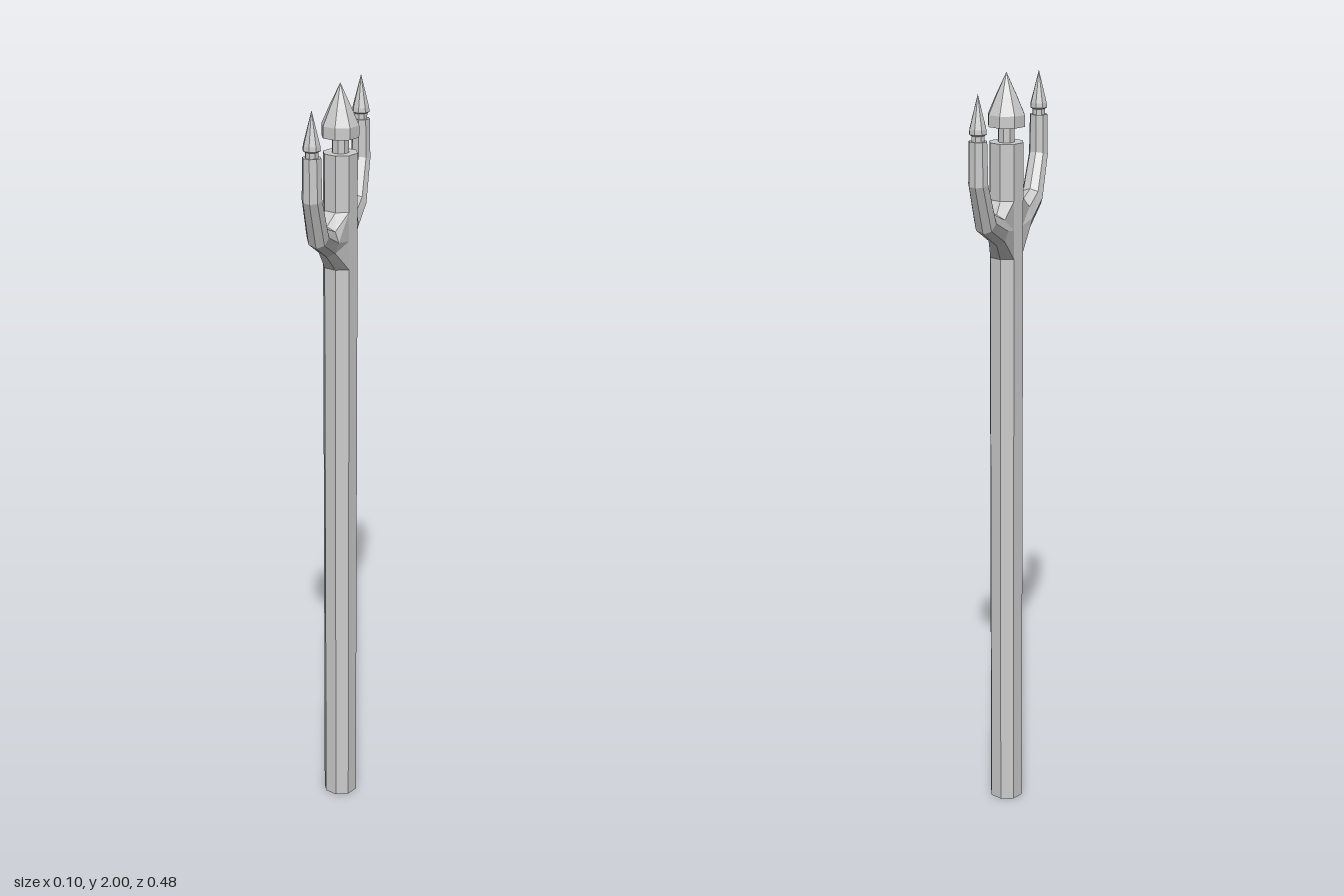
import * as THREE from 'three';

const SIDES = 8;
const material = new THREE.MeshStandardMaterial({ color: 0xcccccc, flatShading: true });

function addMesh(parent, name, geometry) {
  const mesh = new THREE.Mesh(geometry, material);
  mesh.name = name;
  parent.add(mesh);
  return mesh;
}

// Eight-sided turned part from [radius, height] pairs, bottom to top
function turned(profile) {
  return new THREE.LatheGeometry(profile.map(([r, y]) => new THREE.Vector2(r, y)), SIDES);
}

// Cross-sections of a side prong: outer (z, y), inner (z, y), half width in x
const SECTIONS = [
  { outer: [0.088, 1.575], inner: [0.088, 1.655], rx: 0.031 },
  { outer: [0.185, 1.625], inner: [0.153, 1.677], rx: 0.029 },
  { outer: [0.239, 1.75], inner: [0.197, 1.765], rx: 0.026 },
  { outer: [0.24, 1.862], inner: [0.197, 1.862], rx: 0.024 },
];

function prongGeometry(side, offsetX) {
  const rings = [[]];
  // Square root wrapped around the shaft facets
  for (let k = 0; k < SIDES; k++) {
    const a = (k / SIDES) * Math.PI * 2;
    const c = Math.cos(a), s = Math.sin(a);
    const m = Math.max(Math.abs(c), Math.abs(s));
    rings[0].push([0.032 * s / m, 1.605 + 0.075 * c / m, 0.0455 - 0.0135 * Math.abs(s / m)]);
  }
  // Octagonal sections along the bend
  for (const { outer, inner, rx } of SECTIONS) {
    const ring = [];
    for (let k = 0; k < SIDES; k++) {
      const a = (k / SIDES) * Math.PI * 2;
      const t = (1 + Math.cos(a)) / 2;
      ring.push([
        offsetX + rx * Math.sin(a),
        outer[1] + (inner[1] - outer[1]) * t,
        outer[0] + (inner[0] - outer[0]) * t,
      ]);
    }
    rings.push(ring);
  }
  const positions = [];
  const face = (...corners) => {
    if (side < 0) corners.reverse();
    for (const [x, y, z] of corners) positions.push(x, y, z * side);
  };
  for (let i = 0; i + 1 < rings.length; i++) {
    for (let k = 0; k < SIDES; k++) {
      const n = (k + 1) % SIDES;
      face(rings[i][k], rings[i + 1][k], rings[i + 1][n]);
      face(rings[i][k], rings[i + 1][n], rings[i][n]);
    }
  }
  // Flat top
  const top = rings[rings.length - 1];
  for (let k = 1; k + 1 < SIDES; k++) face(top[0], top[k + 1], top[k]);

  const geometry = new THREE.BufferGeometry();
  geometry.setAttribute('position', new THREE.Float32BufferAttribute(positions, 3));
  geometry.computeVertexNormals();
  return geometry;
}

export function createModel() {
  const model = new THREE.Group();
  model.name = 'trident';

  // Long shaft
  const shaft = new THREE.CylinderGeometry(0.0455, 0.0455, 1.825, SIDES);
  shaft.translate(0, 1.825 / 2, 0);
  addMesh(model, 'shaft', shaft);

  // Centre spearhead on a narrow neck
  addMesh(model, 'centerSpearhead', turned([
    [0.022, 1.82], [0.022, 1.865], [0.049, 1.865], [0.049, 1.895], [0.029, 1.94], [0, 2],
  ]));

  // Front and back side prongs with small points
  for (const side of [1, -1]) {
    const prong = new THREE.Group();
    prong.name = side > 0 ? 'frontProng' : 'backProng';
    const offsetX = side > 0 ? -0.01 : -0.006;
    addMesh(prong, 'prongArm', prongGeometry(side, offsetX));
    const tip = addMesh(prong, 'prongTip', turned([
      [0.017, 1.86], [0.017, 1.876], [0.023, 1.88], [0.022, 1.892], [0, 1.977],
    ]));
    tip.position.set(offsetX, 0, 0.2185 * side);
    model.add(prong);
  }
  return model;
}
